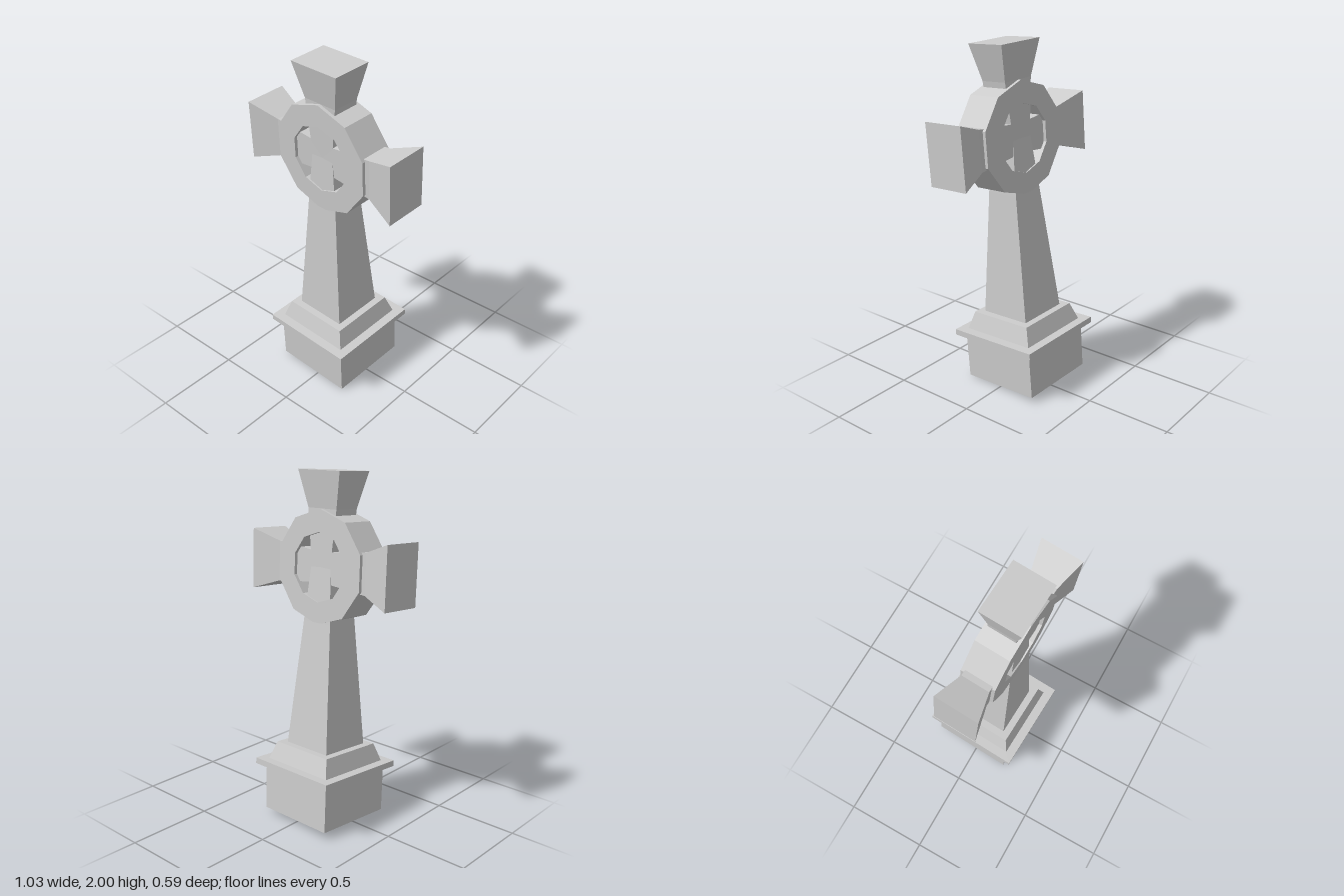
import * as THREE from 'three';

const material = new THREE.MeshStandardMaterial({ color: 0xcccccc, flatShading: true });

// Closed solid through rectangular sections [y, half width, half depth], bottom to top
function loft(sections) {
  const pos = [];
  const quad = (a, b, c, d) => pos.push(...a, ...b, ...c, ...a, ...c, ...d);
  const rings = sections.map(([y, w, d]) => [[-w, y, d], [w, y, d], [w, y, -d], [-w, y, -d]]);
  for (let s = 0; s < rings.length - 1; s++) {
    const lo = rings[s], hi = rings[s + 1];
    for (let i = 0; i < 4; i++) {
      const j = (i + 1) % 4;
      quad(lo[i], lo[j], hi[j], hi[i]);
    }
  }
  quad(...rings[rings.length - 1]);
  quad(...[...rings[0]].reverse());
  const geometry = new THREE.BufferGeometry();
  geometry.setAttribute('position', new THREE.Float32BufferAttribute(pos, 3));
  geometry.computeVertexNormals();
  return geometry;
}

// Regular decagon points with one corner pointing up
function decagon(radius) {
  return Array.from({ length: 10 }, (_, i) => {
    const a = Math.PI / 2 + (i * Math.PI) / 5;
    return new THREE.Vector2(radius * Math.cos(a), radius * Math.sin(a));
  });
}

export function createModel() {
  const model = new THREE.Group();
  model.name = 'stoneCross';
  const stone = new THREE.Group();
  stone.name = 'leaningCross';
  model.add(stone);

  const add = (name, geometry, parent = stone) => {
    const mesh = new THREE.Mesh(geometry, material);
    mesh.name = name;
    parent.add(mesh);
    return mesh;
  };

  // Stepped base
  add('plinth', loft([[0, 0.242, 0.242], [0.275, 0.242, 0.242]]));
  add('plinthCap', loft([[0.275, 0.286, 0.286], [0.31, 0.286, 0.286]]));
  add('slopedStep', loft([[0.31, 0.232, 0.232], [0.413, 0.198, 0.198]]));

  // Tapering shaft up to the crossing
  add('shaft', loft([[0.413, 0.156, 0.156], [1.14, 0.102, 0.1], [1.45, 0.074, 0.08]]));

  // Head: flared arms and ring around the crossing
  const head = new THREE.Group();
  head.name = 'head';
  head.position.y = 1.45;
  stone.add(head);

  add('topArm', loft([[0, 0.07, 0.08], [0.32, 0.106, 0.081], [0.525, 0.155, 0.118]]), head);
  for (const side of [1, -1]) {
    const arm = add(side > 0 ? 'leftArm' : 'rightArm',
      loft([[0, 0.082, 0.08], [0.33, 0.115, 0.081], [0.508, 0.175, 0.126]]), head);
    arm.rotation.z = -side * Math.PI / 2;
  }

  const ringShape = new THREE.Shape(decagon(0.32));
  ringShape.holes.push(new THREE.Path(decagon(0.195).reverse()));
  const ring = new THREE.ExtrudeGeometry(ringShape, { depth: 0.2, bevelEnabled: false });
  ring.translate(0, 0, -0.1);
  add('ring', ring, head);

  // The weathered stone leans forward and slightly sideways
  const deg = THREE.MathUtils.degToRad;
  stone.rotation.set(deg(3.6), deg(-2.3), deg(-1.35), 'YXZ');
  stone.position.set(-0.028, 0.021, -0.02);
  return model;
}
